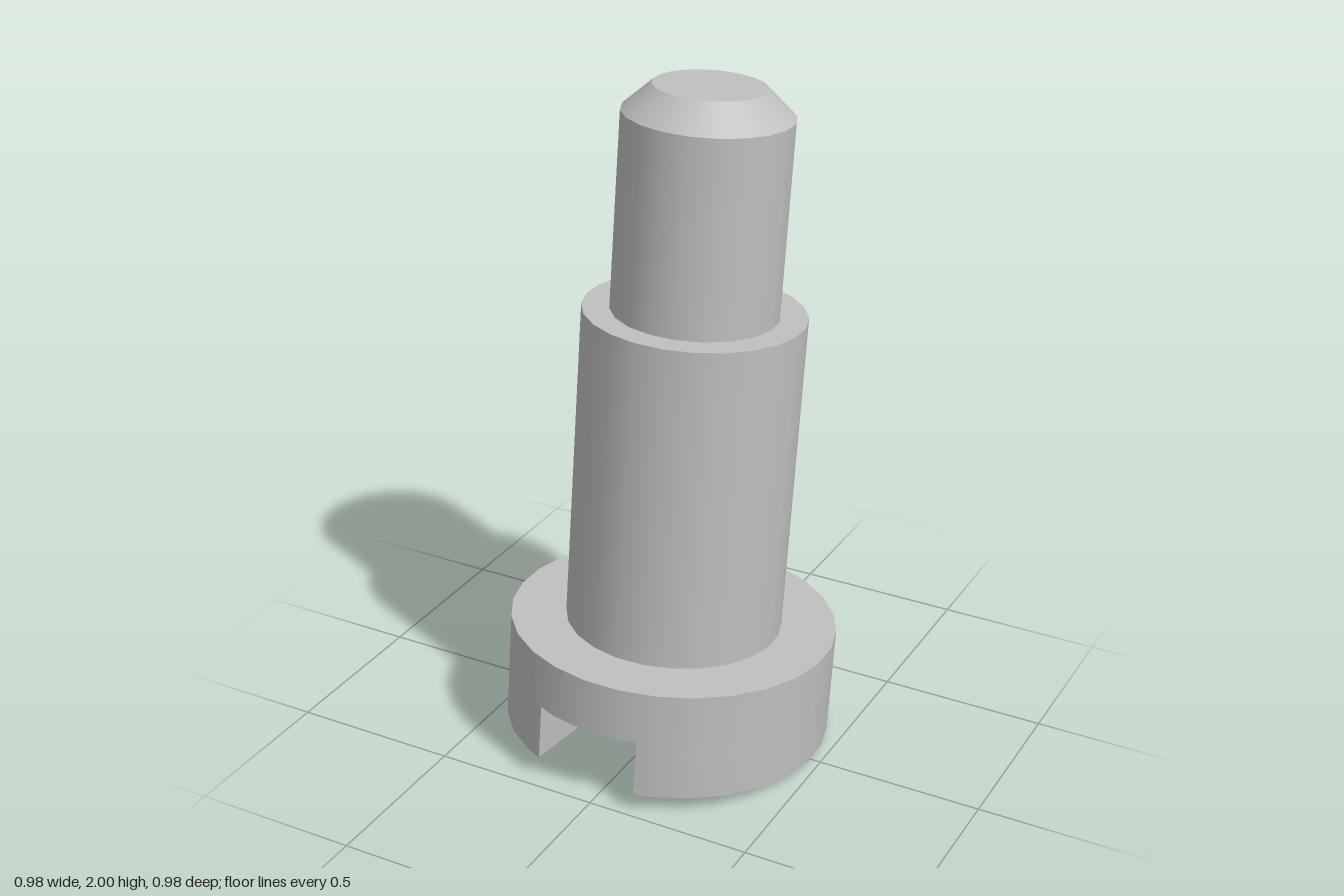
import * as THREE from 'three';
import { toCreasedNormals } from 'three/addons/utils/BufferGeometryUtils.js';

const HEAD_R = 0.486, HEAD_H = 0.33, HEAD_SIDES = 28;
const SLOT_HALF = 0.1625, SLOT_DEPTH = 0.17;

// Half-moon outline of one side of the slotted head
function cheekShape() {
  const step = (Math.PI * 2) / HEAD_SIDES;
  const at = (k) => new THREE.Vector2(Math.cos(k * step), Math.sin(k * step)).multiplyScalar(HEAD_R);
  const a = at(5), b = at(6);
  const end = a.clone().lerp(b, (a.x - SLOT_HALF) / (a.x - b.x));
  const points = [new THREE.Vector2(end.x, -end.y)];
  for (let k = -5; k <= 5; k++) points.push(at(k));
  points.push(end);
  return new THREE.Shape(points);
}

export function createModel() {
  const steel = new THREE.MeshStandardMaterial({ color: 0xbfbfbf });
  steel.name = 'steel grey';

  const model = new THREE.Group();
  model.name = 'shoulderScrew';

  const add = (name, geometry) => {
    const mesh = new THREE.Mesh(geometry, steel);
    mesh.name = name;
    model.add(mesh);
    return mesh;
  };
  // Cylinder section between two heights along the screw axis
  const section = (name, rTop, rBottom, y0, y1, sides) =>
    add(name, new THREE.CylinderGeometry(rTop, rBottom, y1 - y0, sides).translate(0, (y0 + y1) / 2, 0));

  // Head: two cheeks either side of the slot, joined by a solid disc
  const cheek = toCreasedNormals(
    new THREE.ExtrudeGeometry(cheekShape(), { depth: SLOT_DEPTH, bevelEnabled: false }).rotateX(-Math.PI / 2), 0.5);
  add('leftHeadCheek', cheek);
  add('rightHeadCheek', cheek).rotation.y = Math.PI;
  section('headDisc', HEAD_R, HEAD_R, SLOT_DEPTH, HEAD_H, HEAD_SIDES);

  // Shoulder, pin and chamfered tip
  section('shoulder', 0.322, 0.322, HEAD_H, 1.305, 24);
  section('pin', 0.243, 0.243, 1.305, 1.88, 20);
  section('chamferedTip', 0.161, 0.243, 1.88, 1.957, 20);

  // Lean the axis, with a slight twist of the slot
  const axis = new THREE.Vector3(0.034, 1, -0.066).normalize();
  model.quaternion.setFromUnitVectors(new THREE.Vector3(0, 1, 0), axis);
  model.rotateY(-0.056);
  model.position.set(-0.006, 0.036, 0.017);

  const root = new THREE.Group();
  root.name = 'model';
  root.add(model);
  return root;
}
